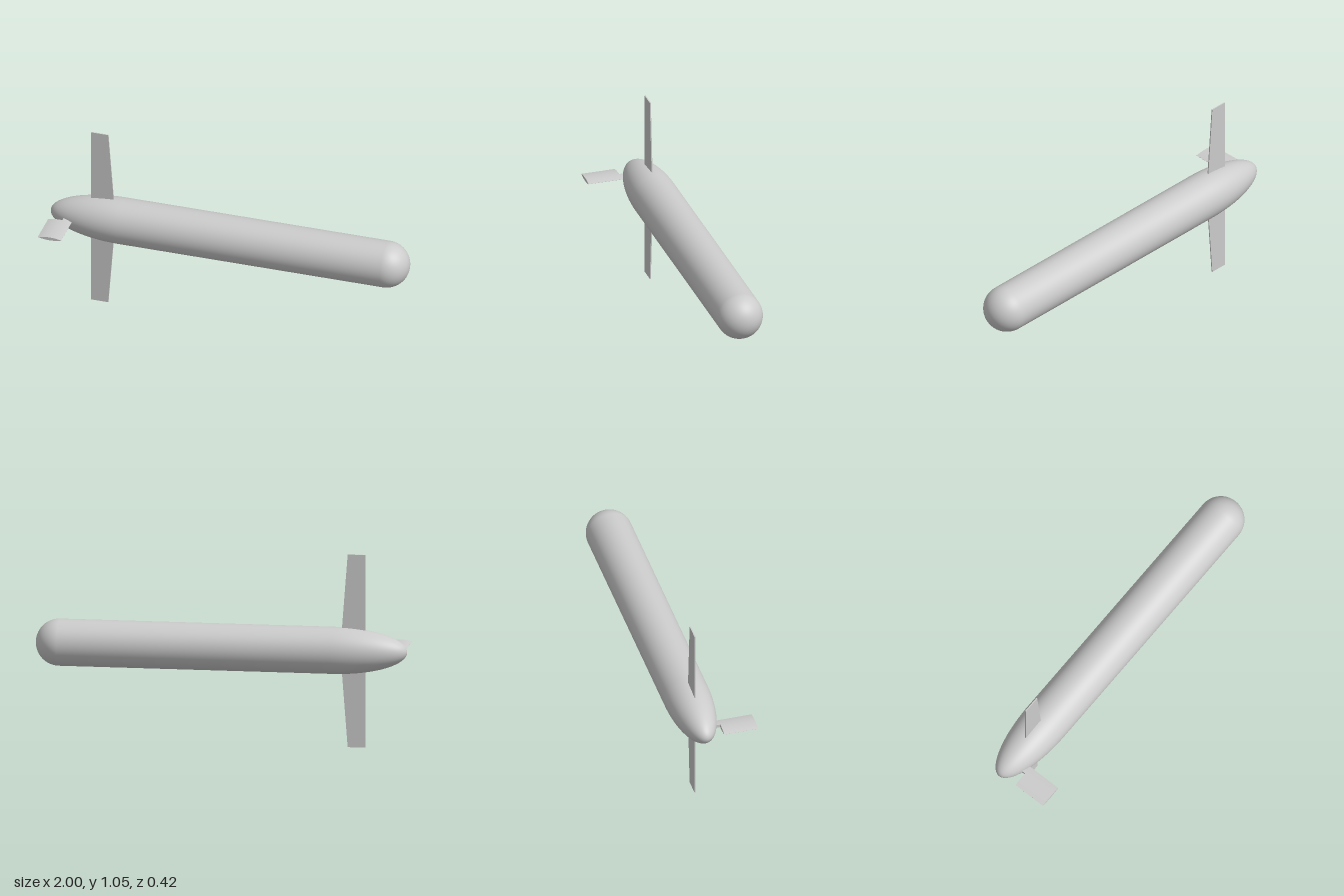
import * as THREE from 'three';

const material = new THREE.MeshStandardMaterial({ color: 0xcccccc });
const AXIS_Y = 0.525, AXIS_Z = -0.082, RADIUS = 0.126;

function add(group, name, geometry) {
  const mesh = new THREE.Mesh(geometry, material);
  mesh.name = name;
  group.add(mesh);
  return mesh;
}

// Plate or foil: a closed outline in x/y extruded from z0 to z1
function slab(points, z0, z1) {
  const shape = new THREE.Shape(points.map(([x, y]) => new THREE.Vector2(x, y)));
  return new THREE.ExtrudeGeometry(shape, { depth: z1 - z0, bevelEnabled: false }).translate(0, 0, z0);
}

// Lens-shaped foil section, cut off at xa and xb
function lens(xa, xb) {
  const mid = -0.919, half = 0.066, thick = 0.009, n = 16;
  const upper = [], lower = [];
  for (let i = 0; i <= n; i++) {
    const x = xa + (xb - xa) * i / n;
    const h = thick * Math.max(0.02, 1 - ((x - mid) / half) ** 2);
    upper.unshift([x, AXIS_Y + h]);
    lower.push([x, AXIS_Y - h]);
  }
  return [...lower, ...upper];
}

export function createModel() {
  const model = new THREE.Group();
  model.name = 'finnedBody';

  // Hull: elliptical tail, straight tube, hemispherical nose
  const profile = [];
  const tailStart = -0.6, noseStart = 1 - RADIUS, steps = 28;
  for (let i = 0; i <= steps; i++) {
    const a = (i / steps) * Math.PI / 2;
    profile.push(new THREE.Vector2(RADIUS * Math.sin(a), tailStart - 0.4 * Math.cos(a)));
  }
  for (let i = 0; i <= steps; i++) {
    const a = (i / steps) * Math.PI / 2;
    profile.push(new THREE.Vector2(RADIUS * Math.cos(a), noseStart + RADIUS * Math.sin(a)));
  }
  const hull = add(model, 'hull', new THREE.LatheGeometry(profile, 64));
  hull.rotation.z = -Math.PI / 2;
  hull.position.set(0, AXIS_Y, AXIS_Z);

  // Upper and lower tapered fins
  for (const [name, s] of [['upperFin', 1], ['lowerFin', -1]]) {
    const outline = [[-0.775, 0], [-0.64, 0], [-0.68, 0.525], [-0.775, 0.525]]
      .map(([x, y]) => [x, AXIS_Y + s * y]);
    add(model, name, slab(outline, AXIS_Z - 0.003, AXIS_Z + 0.003));
  }

  // Side rudder and the narrower root that joins it to the tail
  add(model, 'rudder', slab(lens(-0.985, -0.855), 0.02, 0.208));
  add(model, 'rudderRoot', slab(lens(-0.905, -0.855), AXIS_Z, 0.02));

  return model;
}
